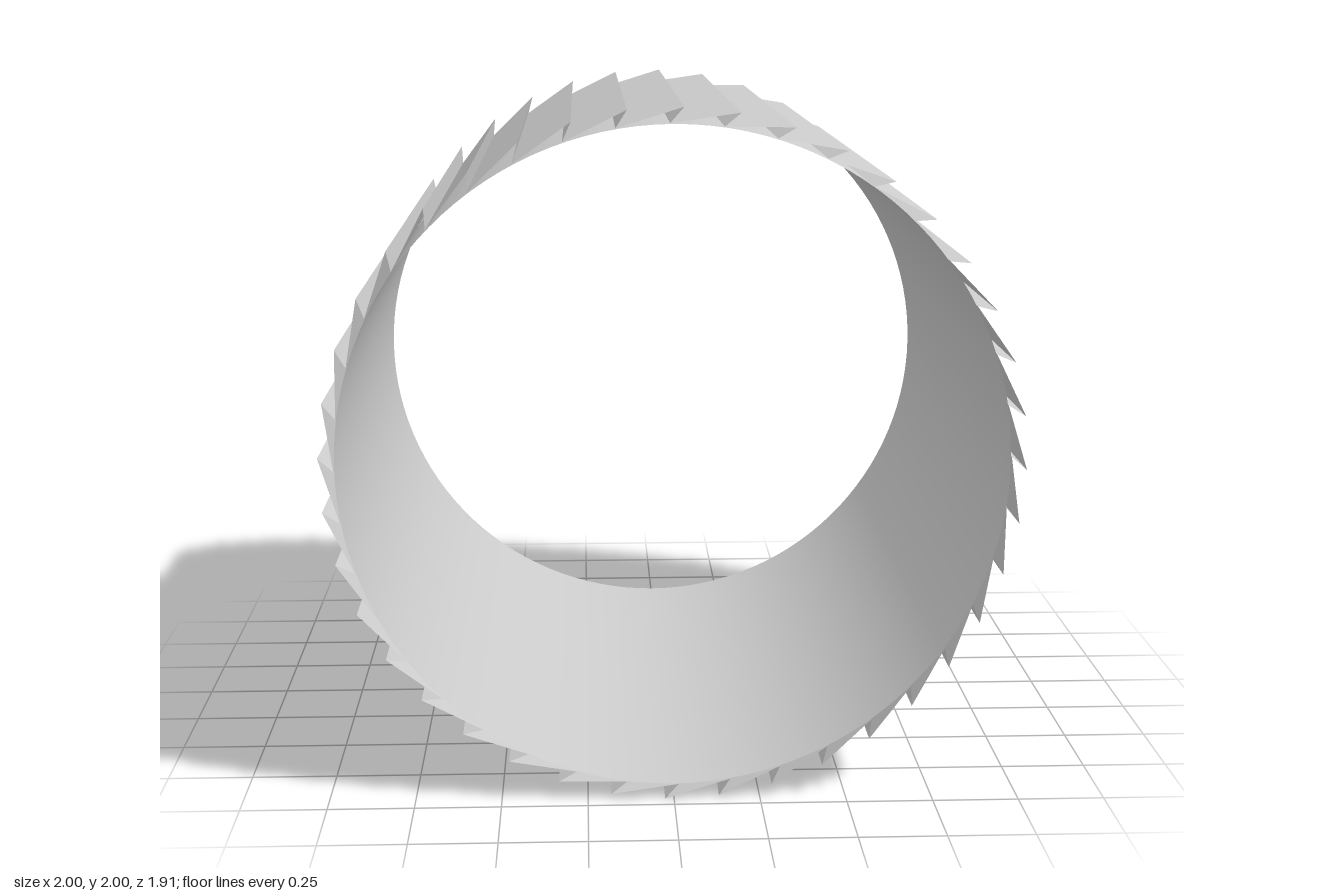
import * as THREE from 'three';

const TEETH = 40, TIP = 1, ROOT = 0.955, HALF = 0.957;
const STEP = (Math.PI * 2) / TEETH;
const FIRST = -0.026;    // angle of the first tip
const UNDERCUT = 0.04;   // each root lies a little behind its tip

const at = (radius, angle) => [radius * Math.cos(angle), radius * Math.sin(angle)];

// Open saw-tooth sleeve: sloped face to a tip, then an undercut step to the next root
function sawToothGeometry() {
  const outline = [];
  for (let i = 0; i < TEETH; i++) {
    const angle = FIRST - i * STEP; // clockwise
    outline.push(at(TIP, angle), at(ROOT, angle + UNDERCUT));
  }
  const positions = [];
  outline.forEach(([px, py], i) => {
    const [qx, qy] = outline[(i + 1) % outline.length];
    positions.push(
      px, py, -HALF, px, py, HALF, qx, qy, HALF,
      px, py, -HALF, qx, qy, HALF, qx, qy, -HALF
    );
  });
  const geometry = new THREE.BufferGeometry();
  geometry.setAttribute('position', new THREE.Float32BufferAttribute(positions, 3));
  geometry.computeVertexNormals();
  return geometry;
}

export function createModel() {
  const group = new THREE.Group();
  group.name = 'ratchetRing';

  const outer = new THREE.Mesh(
    sawToothGeometry(),
    new THREE.MeshStandardMaterial({ color: 0xcccccc, flatShading: true, side: THREE.DoubleSide })
  );
  outer.name = 'outerTeeth';

  // Smooth open bore
  const bore = new THREE.Mesh(
    new THREE.CylinderGeometry(ROOT - 0.002, ROOT - 0.002, HALF * 2, 120, 1, true).rotateX(Math.PI / 2),
    new THREE.MeshStandardMaterial({ color: 0xcccccc, side: THREE.DoubleSide })
  );
  bore.name = 'innerBore';

  group.add(outer, bore);
  group.position.y = TIP;
  return group;
}
